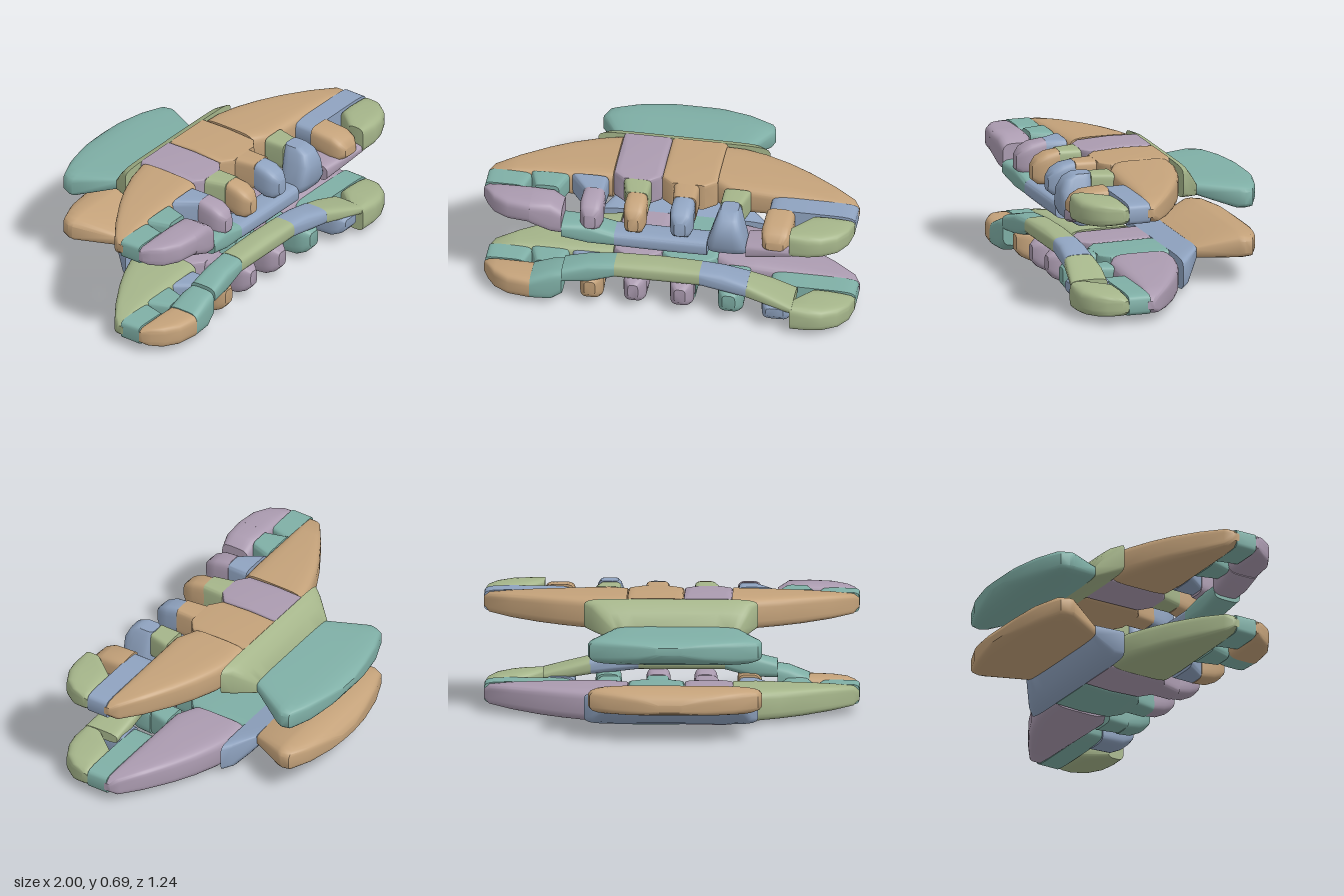
import * as THREE from 'three';
import { ConvexGeometry } from 'three/addons/geometries/ConvexGeometry.js';
import { toCreasedNormals } from 'three/addons/utils/BufferGeometryUtils.js';

const COLORS = { tan: 0xc4a27a, mauve: 0xab9bb0, teal: 0x7fafa6, sage: 0xa5b58a, slate: 0x8fa3c0 };

// Rounded rectangle cross-section at a position along an axis.
// Section: [pos, a0, a1, b0, b1]; x -> a=y b=z, y -> a=x b=z, z -> a=x b=y
function ring(axis, [pos, a0, a1, b0, b1], p, n = 24) {
  const soft = (v) => Math.sign(v) * Math.pow(Math.abs(v), 2 / p);
  return Array.from({ length: n }, (_, i) => {
    const t = ((i + 0.5) / n) * Math.PI * 2;
    const a = (a0 + a1) / 2 + ((a1 - a0) / 2) * soft(Math.cos(t));
    const b = (b0 + b1) / 2 + ((b1 - b0) / 2) * soft(Math.sin(t));
    if (axis === 'x') return new THREE.Vector3(pos, a, b);
    if (axis === 'y') return new THREE.Vector3(a, pos, b);
    return new THREE.Vector3(a, b, pos);
  });
}

export function createModel() {
  const materials = {};
  for (const [name, color] of Object.entries(COLORS)) {
    materials[name] = new THREE.MeshStandardMaterial({ color });
    materials[name].name = name;
  }

  // One half of the claw; the lower half is flipped in height.
  function buildHalf(name, lower) {
    const half = new THREE.Group();
    half.name = name;
    const pick = (up, low) => (lower ? low : up);

    // Solid piece spanning a list of cross-sections
    function piece(label, color, axis, p, sections) {
      const pts = sections.flatMap((s) => ring(axis, s, p));
      if (lower) pts.forEach((v) => { v.y = 0.7 - v.y; });
      const mesh = new THREE.Mesh(toCreasedNormals(new ConvexGeometry(pts), 0.75), materials[color]);
      mesh.name = label;
      half.add(mesh);
    }

    // Wings of the body shell
    const wing = [
      [1.0, 0.58, 0.625, 0.24, 0.28], [0.97, 0.55, 0.65, 0.2, 0.28], [0.85, 0.535, 0.665, 0.115, 0.275],
      [0.7, 0.525, 0.677, 0.025, 0.27], [0.58, 0.52, 0.683, -0.035, 0.27], [0.45, 0.515, 0.688, -0.085, 0.27],
    ];
    piece('rightWing', pick('tan', 'sage'), 'x', 5,
      [...wing.map(([x, ...r]) => [-x, ...r]), [-0.33, 0.515, 0.693, -0.11, 0.26]]);
    piece('leftWing', pick('tan', 'mauve'), 'x', 5,
      [...wing, [0.33, 0.515, 0.693, -0.11, 0.27], [0.23, 0.515, 0.695, -0.11, 0.22]]);

    // Middle panels of the body shell
    for (const [label, color, x0, x1] of [
      ['rightPanel', 'mauve', -0.33, -0.07], ['leftPanel', pick('tan', 'teal'), -0.07, 0.23]]) {
      piece(label, color, 'z', 12, [
        [-0.11, x0, x1, 0.515, 0.692], [0.05, x0, x1, 0.517, 0.697], [0.22, x0, x1, 0.52, 0.688],
        [0.27, x0 + 0.06, x1 - 0.06, 0.525, 0.685]]);
    }

    // Neck and handle
    piece('neck', pick('sage', 'slate'), 'z', 8, [
      [-0.108, -0.47, 0.46, 0.515, 0.69], [-0.15, -0.44, 0.42, 0.505, 0.675],
      [-0.19, -0.41, 0.36, 0.495, 0.63], [-0.235, -0.38, 0.31, 0.485, 0.565]]);
    piece('handle', pick('teal', 'tan'), 'z', 5, [
      [-0.232, -0.38, 0.3, 0.485, 0.565], [-0.44, -0.5, 0.42, 0.413, 0.56], [-0.47, -0.5, 0.43, 0.412, 0.558],
      [-0.515, -0.48, 0.42, 0.415, 0.556], [-0.565, -0.36, 0.31, 0.43, 0.55],
      [-0.6, -0.21, 0.17, 0.455, 0.54], [-0.618, -0.08, 0.07, 0.485, 0.525]]);

    // Links from the body to the teeth: back x range, front x range
    const links = [
      ['rightEndLink', 'teal', -1, -0.76, -1, -0.79, 0.545, 0.655],
      ['rightOuterLink', 'teal', -0.77, -0.56, -0.73, -0.6, 0.535, 0.67],
      ['rightLink', 'slate', -0.55, -0.35, -0.46, -0.355, 0.535, 0.68],
      ['rightMiddleLink', pick('sage', 'mauve'), -0.27, -0.12, -0.24, -0.12, 0.525, 0.685],
      ['leftMiddleLink', pick('tan', 'teal'), 0, 0.14, 0.015, 0.14, 0.525, 0.685],
      ['leftLink', pick('sage', 'teal'), 0.27, 0.42, 0.27, 0.39, 0.53, 0.68],
      ['leftOuterLink', pick('slate', 'teal'), 0.53, 1, 0.53, 1, 0.54, 0.66],
    ];
    for (const [label, color, a0, a1, b0, b1, y0, y1] of links) {
      piece(label, color, 'z', 6, [[0.265, a0, a1, y0, y1], [0.385, b0, b1, y0, y1]]);
    }

    // Curled teeth
    const teeth = [
      ['rightTooth', pick('mauve', 'tan'), -0.475, -0.345, 0.54, 0.5],
      ['rightMiddleTooth', pick('tan', 'mauve'), -0.24, -0.115, 0.53, 0.5],
      ['leftMiddleTooth', pick('slate', 'mauve'), 0.01, 0.14, 0.53, 0.5],
      ['leftOuterTooth', pick('tan', 'slate'), 0.515, 0.68, 0.59, 0.515],
    ];
    if (lower) teeth.push(['leftTooth', 'teal', 0.27, 0.41, 0.54, 0.5]);
    for (const [label, color, x0, x1, z, y0] of teeth) {
      const top = label === 'leftOuterTooth' ? 0.667 : 0.685;
      piece(label, color, 'z', 4, [
        [0.38, x0 + 0.005, x1 - 0.005, y0 + 0.02, top], [z - 0.08, x0, x1, y0, top - 0.01],
        [z - 0.03, x0 + 0.01, x1 - 0.01, y0 + 0.005, top - 0.035],
        [z, x0 + 0.035, x1 - 0.035, y0 + 0.03, top - 0.07]]);
    }

    // Rounded ends of the front rim
    piece('rightEnd', pick('mauve', 'tan'), 'x', 4, [
      [-1, 0.57, 0.63, 0.385, 0.41], [-0.975, 0.55, 0.65, 0.38, 0.45], [-0.93, 0.54, 0.66, 0.38, 0.51],
      [-0.85, 0.537, 0.667, 0.38, 0.555], [-0.73, 0.535, 0.67, 0.38, 0.57]]);
    piece('leftEnd', 'sage', 'x', 4, [
      [1, 0.57, 0.63, 0.385, 0.42], [0.98, 0.55, 0.65, 0.38, 0.5], [0.93, 0.535, 0.66, 0.38, 0.565],
      [0.85, 0.525, 0.667, 0.38, 0.605], [0.78, 0.52, 0.668, 0.385, 0.618], [0.68, 0.52, 0.665, 0.51, 0.61]]);

    // Front rim between the ends
    piece('rightCorner', pick('mauve', 'teal'), 'x', 4, [
      [-0.73, 0.53, 0.67, 0.38, 0.57], [-0.62, 0.485, 0.668, 0.38, 0.568], [-0.56, 0.475, 0.63, 0.39, 0.555]]);
    piece('rightRim', 'teal', 'x', 3.5, [
      [-0.56, 0.455, 0.545, 0.4, 0.56], [-0.42, 0.418, 0.54, 0.395, 0.545], [-0.28, 0.41, 0.5, 0.39, 0.53]]);
    const end = pick(0.22, 0.18);
    piece('middleRim', pick('slate', 'sage'), 'x', 3.5, [
      [-0.28, 0.408, 0.5, 0.39, 0.53], [-0.03, 0.4, 0.5, 0.39, 0.525], [end, 0.406, 0.5, 0.39, 0.53]]);
    if (lower) {
      piece('leftRim', 'slate', 'x', 3.5, [
        [0.18, 0.406, 0.5, 0.39, 0.53], [0.3, 0.413, 0.515, 0.39, 0.54], [0.44, 0.44, 0.53, 0.39, 0.555]]);
    } else {
      piece('leftToothAndRim', 'slate', 'y', 4, [
        [0.41, 0.22, 0.42, 0.4, 0.47], [0.45, 0.22, 0.435, 0.39, 0.53], [0.5, 0.22, 0.435, 0.385, 0.555],
        [0.6, 0.25, 0.41, 0.38, 0.555], [0.66, 0.27, 0.395, 0.38, 0.525], [0.685, 0.285, 0.38, 0.38, 0.48]]);
    }
    piece('leftOuterRim', pick('mauve', 'sage'), 'x', 3.5, [
      [0.435, 0.44, 0.53, 0.39, 0.555], [0.56, 0.475, 0.55, 0.385, 0.58], [0.69, 0.515, 0.57, 0.4, 0.605]]);
    return half;
  }

  const model = new THREE.Group();
  model.name = 'hairClaw';
  model.add(buildHalf('upperHalf', false), buildHalf('lowerHalf', true));
  return model;
}
